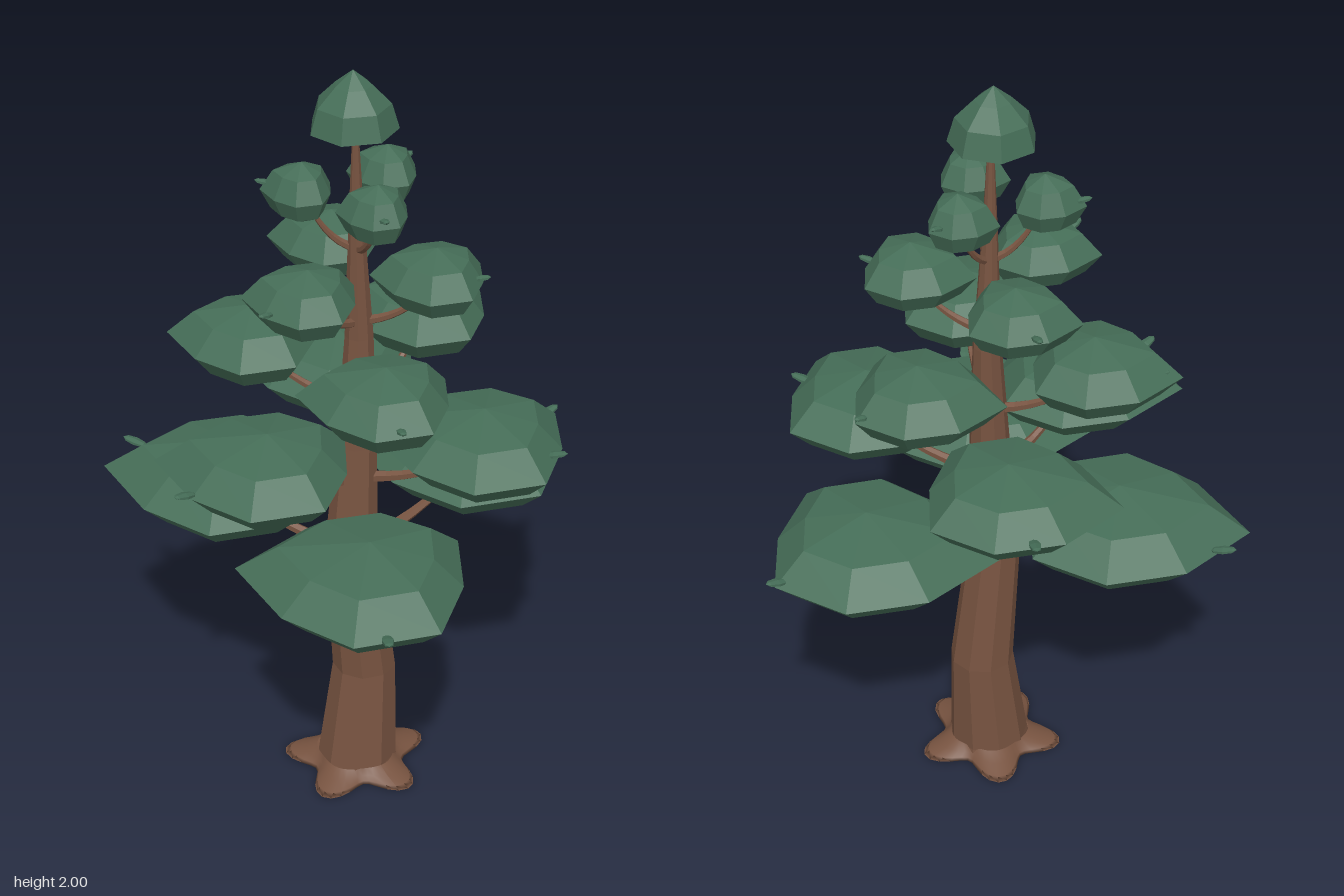
import * as THREE from 'three';

const mat = (color, extra = {}) => new THREE.MeshStandardMaterial({ color, flatShading: true, roughness: 0.9, ...extra });
const bark = mat(0x775340);
const rootBark = mat(0x775340, { flatShading: false, side: THREE.DoubleSide });
const needles = mat(0x456d57);
const crownNeedles = mat(0x456d57, { side: THREE.DoubleSide });

// trunk sections: height, centre x, centre z, radius
const TRUNK = [
  [0, -0.058, 0, 0.112], [0.03, -0.058, 0, 0.106], [0.31, -0.032, -0.003, 0.084], [0.7, -0.07, -0.005, 0.069],
  [1.0, -0.048, -0.01, 0.052], [1.3, -0.036, -0.014, 0.036], [1.6, -0.044, -0.012, 0.02], [1.9, -0.048, -0.01, 0.005],
];

// foliage tiers: pad centres [x, z], leaf tips [x, z]
const TIERS = [
  { y: 0.83, h: 0.112, r: 0.277, branchY: 0.68,
    pads: [[0.325, -0.005], [-0.25, -0.285], [-0.24, 0.3]],
    leaves: [[0.59, -0.01], [-0.37, -0.55], [-0.37, 0.54]] },
  { y: 1.05, h: 0.102, r: 0.235, branchY: 0.9,
    pads: [[-0.345, 0.03], [0.095, -0.28], [0.145, 0.255]],
    leaves: [[-0.585, 0.03], [0.17, -0.485], [0.23, 0.42]] },
  { y: 1.26, h: 0.098, r: 0.182, branchY: 1.11,
    pads: [[0.205, -0.06], [-0.215, -0.21], [-0.14, 0.23]],
    leaves: [[0.37, -0.07], [-0.32, -0.335], [-0.21, 0.38]] },
  { y: 1.475, h: 0.087, r: 0.136, branchY: 1.34,
    pads: [[-0.225, 0.04], [0.005, -0.18], [0.085, 0.135]],
    leaves: [[-0.36, 0.06], [0.035, -0.305], [0.15, 0.22]] },
  { y: 1.69, h: 0.08, r: 0.084, branchY: 1.54,
    pads: [[0.07, -0.04], [-0.15, -0.085], [-0.08, 0.12]],
    leaves: [[0.14, -0.06], [-0.21, -0.15], [-0.11, 0.18]] },
];

// pad half-section, and uneven reach at each 45 degrees from +x towards +z
const PAD_PROFILE = [[0, -0.95], [0.75, -0.55], [1, 0.03], [0.68, 0.68], [0, 1]];
const PAD_REACH = [0.98, 0.82, 1, 1.01, 0.95, 1.2, 0.97, 0.96];

function add(parent, name, geometry, material) {
  const mesh = new THREE.Mesh(geometry, material);
  mesh.name = name;
  parent.add(mesh);
  return mesh;
}

const lathe = (points, sides) => new THREE.LatheGeometry(points.map((p) => new THREE.Vector2(...p)), sides);

// move every vertex by a rule
function reshape(geometry, rule) {
  const p = geometry.attributes.position, v = new THREE.Vector3();
  for (let i = 0; i < p.count; i++) {
    rule(v.fromBufferAttribute(p, i), i);
    p.setXYZ(i, v.x, v.y, v.z);
  }
  geometry.computeVertexNormals();
  return geometry;
}

// trunk centre and radius at a height
function trunkAt(y) {
  const k = Math.max(1, TRUNK.findIndex((s) => s[0] >= y));
  const a = TRUNK[k - 1], b = TRUNK[k], t = (y - a[0]) / (b[0] - a[0]);
  return a.map((n, i) => n + (b[i] - n) * t);
}

function trunkGeometry() {
  const rows = TRUNK.length - 1;
  return reshape(new THREE.CylinderGeometry(1, 1, rows, 9, rows), (v) => {
    const [y, x, z, r] = TRUNK[Math.round(v.y + rows / 2)];
    v.set(x + v.x * r, y, z + v.z * r);
  });
}

// thin skirt with five root lobes
function rootGeometry() {
  const profile = [[0, 0], [1, 0], [0.85, 0.008], [0.45, 0.018], [0.1, 0.035]];
  return reshape(lathe(profile, 50), (v) => {
    const t = Math.hypot(v.x, v.z), a = Math.atan2(v.z, v.x);
    const edge = 0.16 + 0.037 * Math.cos(5 * (a - Math.PI * 1.25));
    const r = v.y === 0 ? edge * t : 0.098 + (edge - 0.098) * t;
    v.set(-0.06 + r * Math.cos(a), v.y, r * Math.sin(a));
  });
}

// tapered branch, sweeping out and then up
function branchGeometry(tier, [px, pz]) {
  const [, tx, tz, tr] = trunkAt(tier.branchY);
  const at = (t, y) => new THREE.Vector3(tx + (px - tx) * t, y, tz + (pz - tz) * t);
  const curve = new THREE.QuadraticBezierCurve3(at(0, tier.branchY), at(0.5, tier.branchY + 0.015), at(0.85, tier.y - tier.h * 0.5));
  const segs = 7, sides = 6, r = 0.008 + tr * 0.17;
  return reshape(new THREE.TubeGeometry(curve, segs, r, sides), (v, i) => {
    const t = Math.floor(i / (sides + 1)) / segs;
    const c = curve.getPointAt(t);
    v.sub(c).multiplyScalar(1 - 0.6 * t).add(c);
  });
}

// eight-sided flattened pad with an uneven rim
function padGeometry({ r, h }) {
  return reshape(lathe(PAD_PROFILE, 8), (v) => {
    const step = Math.round(Math.atan2(v.z, v.x) / (Math.PI / 4));
    const k = r * PAD_REACH[(step + 8) % 8];
    v.set(v.x * k, v.y * h, v.z * k);
  });
}

export function createModel() {
  const tree = new THREE.Group();
  tree.name = 'coniferTree';
  add(tree, 'trunk', trunkGeometry(), bark);
  add(tree, 'rootFlare', rootGeometry(), rootBark);

  TIERS.forEach((tier, n) => {
    const group = new THREE.Group();
    group.name = `foliageTier${n + 1}`;
    tree.add(group);
    const [, tx, tz] = trunkAt(tier.y);
    const padShape = padGeometry(tier);
    tier.pads.forEach((pad, i) => {
      const [x, z] = pad;
      add(group, 'branch', branchGeometry(tier, pad), bark);
      add(group, 'foliagePad', padShape, needles).position.set(x, tier.y, z);

      // small leaf at the outer tip
      const size = n < 2 ? 1 : 0.75;
      const leaf = add(group, 'tipLeaf', new THREE.SphereGeometry(1, 6, 4).rotateZ(Math.PI / 2), needles);
      leaf.scale.set(0.034 * size, 0.007, 0.016 * size);
      leaf.position.set(tier.leaves[i][0], tier.y + 0.02, tier.leaves[i][1]);
      leaf.rotation.set(0, -Math.atan2(z - tz, x - tx), 0.25);
    });
  });

  // pointed crown
  const crown = lathe([[0, 0], [0.108, 0], [0.09, 0.062], [0.045, 0.108], [0, 0.145]], 7);
  add(tree, 'crown', crown, crownNeedles).position.set(-0.05, 1.855, -0.015);
  return tree;
}
